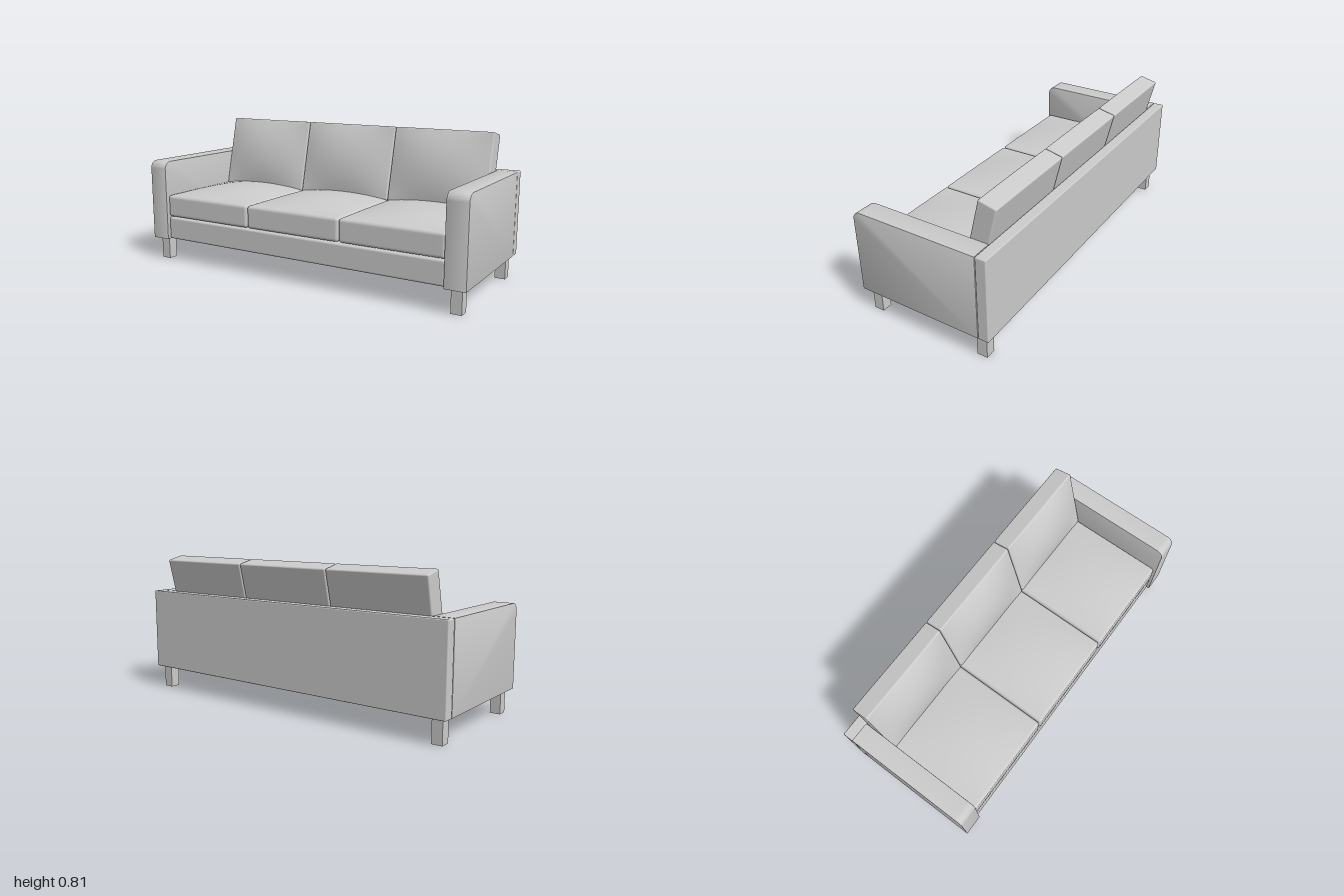
import * as THREE from 'three';
import { mergeVertices, toCreasedNormals } from 'three/addons/utils/BufferGeometryUtils.js';
import { RoundedBoxGeometry } from 'three/addons/geometries/RoundedBoxGeometry.js';

const material = new THREE.MeshStandardMaterial({ color: 0xcccccc });

function add(parent, name, geometry, x, y, z) {
  const mesh = new THREE.Mesh(geometry, material);
  mesh.name = name;
  mesh.position.set(x, y, z);
  parent.add(mesh);
  return mesh;
}

// Rounded box whose top face swells into a soft crown
function cushionGeometry(w, h, d, r, crown) {
  const n = 20, edge = 3;
  let geo = new THREE.BoxGeometry(1, 1, 1, n, n, n);
  const pos = geo.attributes.position;
  const half = new THREE.Vector3(w / 2, h / 2, d / 2);
  const inner = half.clone().subScalar(r);
  const p = new THREE.Vector3(), core = new THREE.Vector3();
  // Crowd the outer grid lines into the rounded rim
  const spread = (t, H) => {
    const i = Math.round(Math.abs(t) * n), flat = n / 2 - edge;
    const v = i <= flat ? (i / flat) * (H - r)
      : H - r + r * Math.tan(((i - flat) / edge) * Math.PI / 4);
    return Math.sign(t) * v;
  };
  for (let i = 0; i < pos.count; i++) {
    p.fromBufferAttribute(pos, i);
    p.set(spread(p.x, half.x), spread(p.y, half.y), spread(p.z, half.z));
    core.copy(p).clamp(inner.clone().negate(), inner);
    p.sub(core).setLength(r).add(core);
    const u = p.x / half.x, v = p.z / half.z;
    const lift = Math.max(0, p.y / half.y);
    p.y += crown * lift * (1 - u * u) * (1 - v * v);
    pos.setXYZ(i, p.x, p.y, p.z);
  }
  geo.deleteAttribute('uv');
  geo.deleteAttribute('normal');
  geo = mergeVertices(geo, 1e-5);
  geo.computeVertexNormals();
  return geo;
}

// Side panel with a rounded upper front corner, extruded across x
function armGeometry(width, back, front, bottom, top, radius) {
  const b = 0.003;
  const shape = new THREE.Shape();
  shape.moveTo(back + b, bottom + b);
  shape.lineTo(front - b, bottom + b);
  shape.lineTo(front - b, top - radius);
  shape.absarc(front - radius, top - radius, radius - b, 0, Math.PI / 2, false);
  shape.lineTo(back + b, top - b);
  shape.closePath();
  const geo = new THREE.ExtrudeGeometry(shape, {
    depth: width - 2 * b, bevelThickness: b, bevelSize: b, bevelSegments: 2, curveSegments: 10,
  });
  geo.translate(0, 0, b - width / 2);
  geo.rotateY(-Math.PI / 2);
  return toCreasedNormals(geo, 0.6);
}

export function createModel() {
  const sofa = new THREE.Group();
  sofa.name = 'sofa';

  // Frame: base and back panel
  add(sofa, 'base', new RoundedBoxGeometry(1.768, 0.132, 0.71, 3, 0.012), 0, 0.199, 0.022);
  add(sofa, 'backPanel', new RoundedBoxGeometry(2, 0.47, 0.06, 3, 0.006), 0, 0.365, -0.361);

  // Arms and legs, mirrored
  const arm = armGeometry(0.115, -0.33, 0.392, 0.13, 0.6, 0.045);
  const leg = new THREE.BoxGeometry(0.058, 0.132, 0.058);
  for (const [side, s] of [['left', 1], ['right', -1]]) {
    add(sofa, side + 'Arm', arm, s * 0.9425, 0, 0);
    add(sofa, side + 'FrontLeg', leg, s * 0.94, 0.066, 0.328);
    add(sofa, side + 'BackLeg', leg, s * 0.94, 0.066, -0.33);
  }

  // Three seat cushions and three leaning back cushions
  const seat = cushionGeometry(0.586, 0.128, 0.71, 0.016, 0.034);
  const back = cushionGeometry(0.586, 0.103, 0.43, 0.008, 0.042);
  for (const i of [-1, 0, 1]) {
    add(sofa, 'seatCushion', seat, i * 0.59, 0.334, 0.024);
    add(sofa, 'backCushion', back, i * 0.59, 0.594, -0.2755).rotation.x = Math.PI / 2 - 0.232;
  }
  return sofa;
}
